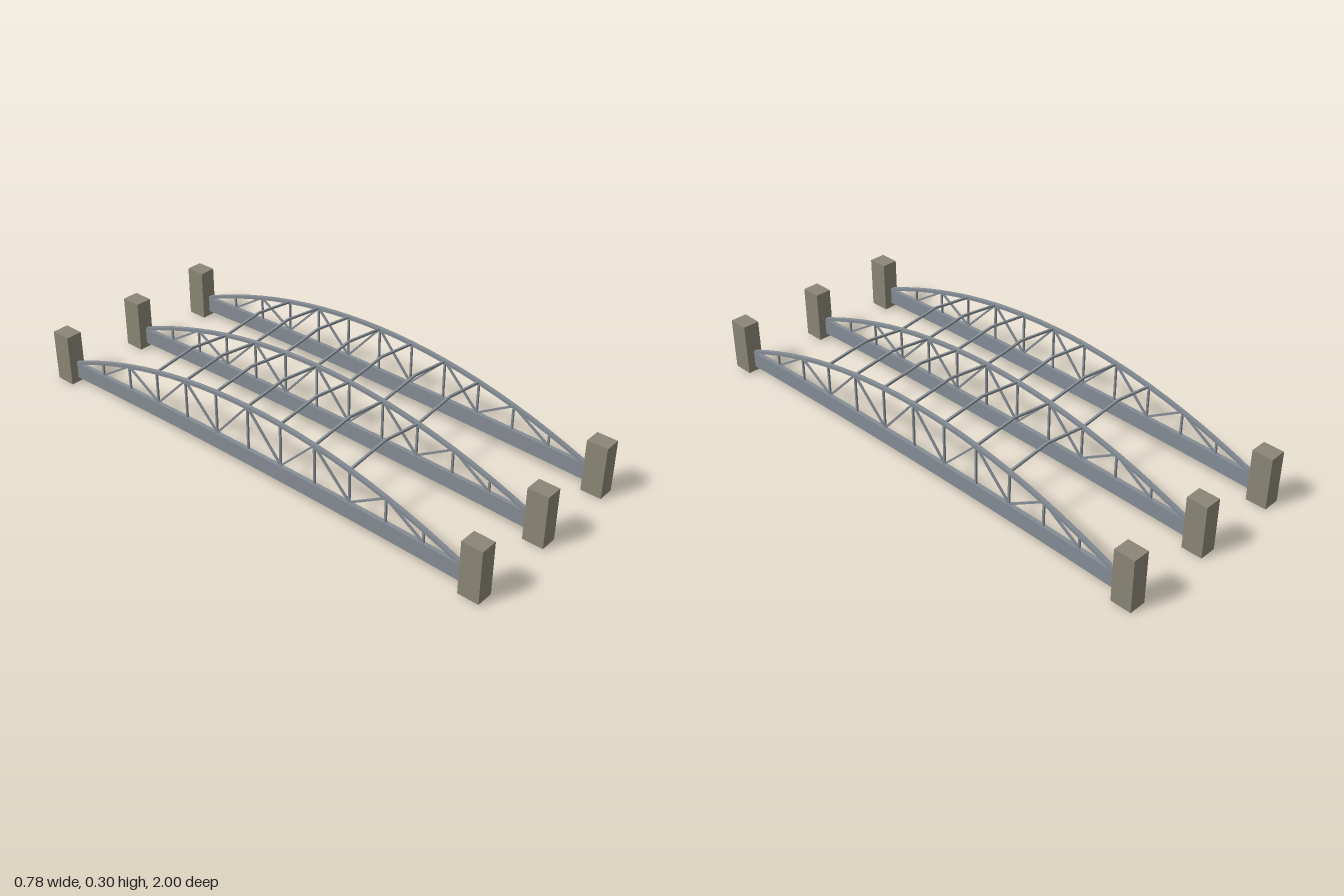
import * as THREE from 'three';

const TRUSS_X = [-0.355, 0, 0.355];
const HALF = 0.91;          // half length of a truss
const BAY = HALF / 6;       // spacing of the panel points
const WIDTH = 0.015;        // width of arch and girder

const stone = new THREE.MeshStandardMaterial({ color: 0x8a8575 });
const steel = new THREE.MeshStandardMaterial({ color: 0x858c94, flatShading: true });

// Curves along z: the whole bridge falls very slightly towards the back
const fall = (z) => 0.0027 * z;
const bow = (z) => 1 - (z / HALF) ** 2;
const archY = (z) => 0.09 + 0.187 * bow(z) + fall(z);
const girderTop = (z) => 0.091 + 0.014 * bow(z) + fall(z);
const girderBottom = (z) => 0.028 + 0.015 * bow(z) + fall(z);

function add(parent, name, geometry, material) {
  const mesh = new THREE.Mesh(geometry, material);
  mesh.name = name;
  parent.add(mesh);
  return mesh;
}

// Strip in the side plane between two curves, given a width in x
function ribbon(top, bottom, width, steps) {
  const upper = [], lower = [];
  for (let i = 0; i <= steps; i++) {
    const z = -HALF + (2 * HALF * i) / steps;
    upper.push(new THREE.Vector2(z, top(z)));
    lower.push(new THREE.Vector2(z, bottom(z)));
  }
  const shape = new THREE.Shape([...lower, ...upper.reverse()]);
  const geometry = new THREE.ExtrudeGeometry(shape, { depth: width, bevelEnabled: false });
  geometry.rotateY(-Math.PI / 2);
  geometry.translate(width / 2, 0, 0);
  return geometry;
}

// Square bar between two points
function bar(parent, name, a, b, size) {
  const from = new THREE.Vector3(...a), to = new THREE.Vector3(...b);
  const mesh = add(parent, name, new THREE.BoxGeometry(size, size, from.distanceTo(to)), steel);
  mesh.position.copy(from).add(to).multiplyScalar(0.5);
  mesh.lookAt(to);
  return mesh;
}

function createTruss() {
  const truss = new THREE.Group();
  truss.name = 'truss';
  add(truss, 'girder', ribbon(girderTop, girderBottom, WIDTH + 0.001, 24), steel);
  add(truss, 'arch', ribbon((z) => archY(z) + 0.007, (z) => archY(z) - 0.006, WIDTH, 24), steel);

  for (let i = -5; i <= 5; i++) {
    const z = i * BAY;
    bar(truss, 'post', [0, girderTop(z) - 0.004, z], [0, archY(z), z], 0.007);
    // Diagonals fan down from every second panel point
    if (i % 2 === 0) {
      for (const side of [-1, 1]) {
        const foot = z + side * BAY;
        bar(truss, 'diagonal', [0, archY(z), z], [0, girderTop(foot), foot], 0.007);
      }
    }
  }
  return truss;
}

export function createModel() {
  const model = new THREE.Group();
  model.name = 'bridgeFrame';

  for (const x of TRUSS_X) {
    const truss = createTruss();
    truss.position.x = x;
    model.add(truss);

    // End piers
    for (const end of [-1, 1]) {
      const pier = add(model, 'pier', new THREE.BoxGeometry(0.066, 0.205, 0.08), stone);
      pier.position.set(x, 0.105 + 0.0025 * end, 0.96 * end);
    }
  }

  // Peaked cross braces between neighbouring arches
  for (let i = -3; i <= 3; i++) {
    const z = i * BAY, y = archY(z);
    for (const middle of [-0.1775, 0.1775]) {
      for (const side of [-1, 1]) {
        bar(model, 'crossBrace', [middle + side * 0.1775, y, z], [middle, y + 0.023, z], 0.008);
      }
    }
  }
  return model;
}
